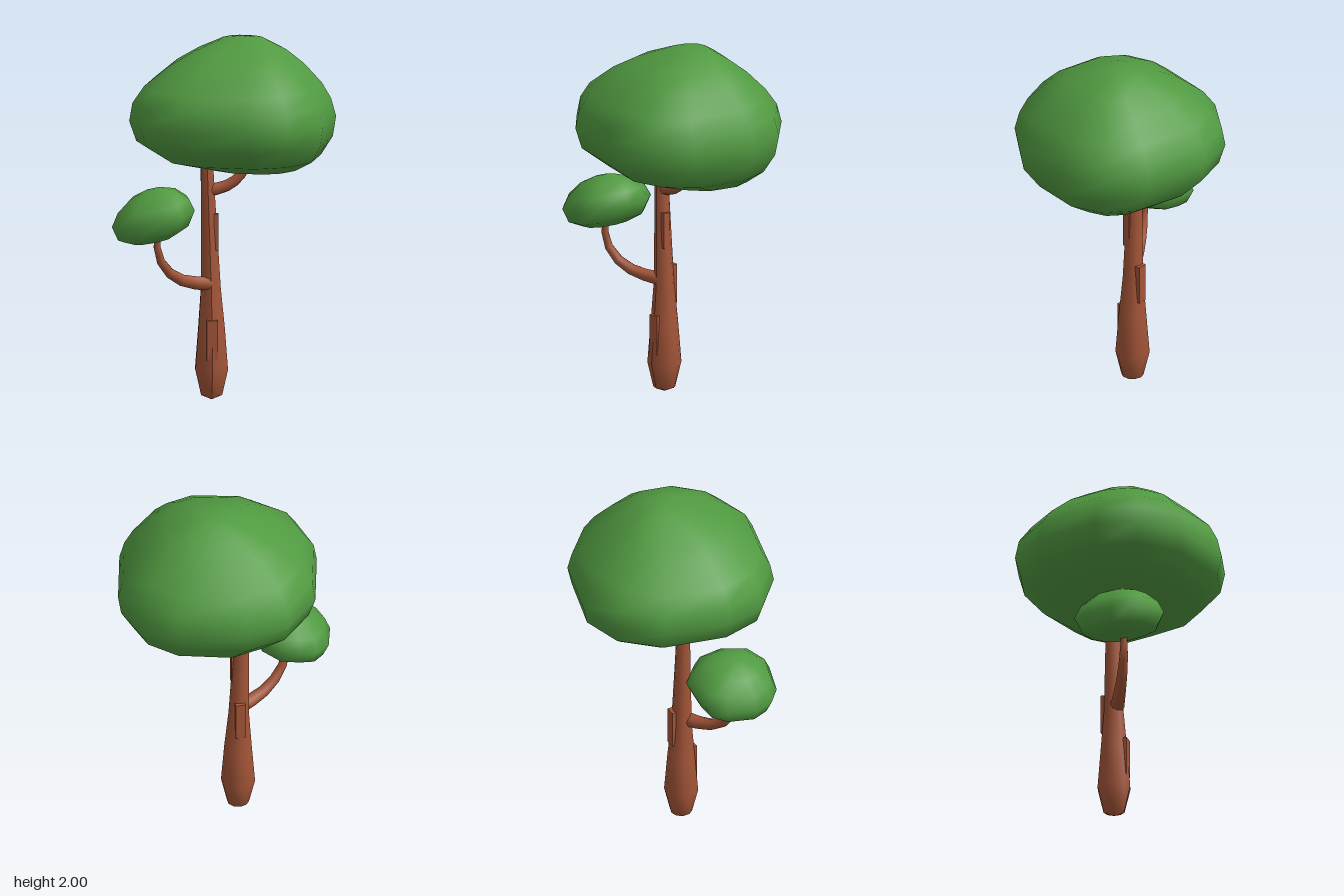
import * as THREE from 'three';
import { mergeVertices } from 'three/addons/utils/BufferGeometryUtils.js';

const leaf = new THREE.MeshStandardMaterial({ color: 0x519a41 });
leaf.name = 'leaf green';
const bark = new THREE.MeshStandardMaterial({ color: 0xa35538 });
bark.name = 'bark brown';

// Closed blob: a plan outline [x, z] stacked in rings [y, centreX, centreZ, scale], bottom to top
function blob(outline, [ox, oz], rings, slope = 0) {
  const n = outline.length, pos = [], idx = [];
  rings.forEach(([y, cx, cz, s], i) => {
    outline.forEach(([x, z], j) => {
      const px = cx + (x - ox) * s;
      pos.push(px, y + slope * (px - ox), cz + (z - oz) * s);
      if (i === rings.length - 1) return;
      const a = i * n + j, b = i * n + (j + 1) % n;
      if (i > 0) idx.push(a, a + n, b);
      if (i < rings.length - 2) idx.push(b, a + n, b + n);
      if (i === 0) idx.push(a, a + n, b + n);
    });
  });
  // the first ring is a point, so its fan needs only the one triangle per side
  const g = new THREE.BufferGeometry();
  g.setAttribute('position', new THREE.Float32BufferAttribute(pos, 3));
  g.setIndex(idx);
  const merged = mergeVertices(g, 1e-4);
  merged.computeVertexNormals();
  return merged;
}

// Tube whose radius shrinks along its path
function branch(points, r0, r1) {
  const path = new THREE.CatmullRomCurve3(points.map((p) => new THREE.Vector3(...p)));
  const n = 6, sides = 8;
  const g = new THREE.TubeGeometry(path, n, 1, sides);
  const p = g.attributes.position, v = new THREE.Vector3();
  for (let i = 0; i <= n; i++) {
    const c = path.getPointAt(i / n), r = r0 + (r1 - r0) * i / n;
    for (let j = 0; j <= sides; j++) {
      const k = i * (sides + 1) + j;
      v.fromBufferAttribute(p, k).sub(c).multiplyScalar(r).add(c);
      p.setXYZ(k, v.x, v.y, v.z);
    }
  }
  return g;
}

export function createModel() {
  const tree = new THREE.Group();
  tree.name = 'tree';
  const add = (name, geometry, material) => {
    const m = new THREE.Mesh(geometry, material);
    m.name = name;
    tree.add(m);
    return m;
  };

  // Trunk: tapered, leaning slightly to the right towards the top
  const profile = [[0, 0.003], [0.06, 0.03], [0.093, 0.17], [0.075, 0.4], [0.056, 0.62],
    [0.043, 1.02], [0.035, 1.3], [0.03, 1.38], [0, 1.38]];
  const trunk = new THREE.LatheGeometry(profile.map((p) => new THREE.Vector2(...p)), 10);
  const tp = trunk.attributes.position;
  for (let i = 0; i < tp.count; i++) {
    tp.setX(i, tp.getX(i) - 0.07 - 0.025 * Math.max(0, tp.getY(i) - 0.5) / 0.8);
  }
  trunk.computeVertexNormals();
  add('trunk', trunk, bark);

  // Raised bark pieces: [size, centre]
  [
    [[0.06, 0.22, 0.03], [-0.07, 0.34, 0.067]],
    [[0.055, 0.22, 0.03], [-0.07, 0.61, -0.054]],
    [[0.025, 0.2, 0.04], [-0.046, 0.93, 0.016]],
  ].forEach(([size, centre], i) => {
    add('barkPiece' + (i + 1), new THREE.BoxGeometry(...size), bark).position.set(...centre);
  });

  // Branches
  add('lowerBranch', branch([[-0.08, 0.645, 0.02], [-0.22, 0.67, 0.085], [-0.32, 0.74, 0.135],
    [-0.37, 0.84, 0.16], [-0.37, 0.96, 0.16]], 0.04, 0.016), bark);
  add('upperBranch', branch([[-0.09, 1.155, 0], [0, 1.175, 0], [0.06, 1.21, 0],
    [0.11, 1.27, 0], [0.14, 1.34, 0]], 0.036, 0.022), bark);

  // Large crown
  const crown = [[0, -0.57], [0.37, -0.46], [0.55, -0.28], [0.61, -0.05], [0.52, 0.31], [0.33, 0.5],
    [0.1, 0.56], [-0.28, 0.46], [-0.47, 0.28], [-0.52, 0.05], [-0.43, -0.31], [-0.24, -0.51]];
  add('crown', blob(crown, [0.045, 0], [
    [1.24, 0.2, -0.08, 0], [1.268, 0.18, -0.07, 0.42], [1.34, 0.1, -0.015, 0.76],
    [1.44, 0.055, 0, 0.95], [1.55, 0.045, 0, 1], [1.65, 0.04, 0, 0.96], [1.74, 0.045, 0.01, 0.86],
    [1.85, 0.065, 0.01, 0.65], [1.925, 0.085, 0.005, 0.45], [1.985, 0.1, -0.03, 0.21],
    [2, 0.1, -0.03, 0],
  ]), leaf);

  // Small crown on the lower branch
  const tuft = [[-0.4, -0.095], [-0.28, -0.09], [-0.18, 0.02], [-0.17, 0.17], [-0.24, 0.33],
    [-0.36, 0.385], [-0.52, 0.34], [-0.59, 0.27], [-0.62, 0.165], [-0.575, 0], [-0.5, -0.08]];
  const c = [-0.395, 0.15];
  add('smallCrown', blob(tuft, c, [
    [0.9, ...c, 0], [0.913, ...c, 0.5], [0.95, ...c, 0.85], [1.03, ...c, 1],
    [1.1, ...c, 0.86], [1.158, ...c, 0.57], [1.185, ...c, 0.25], [1.19, ...c, 0],
  ], 0.2), leaf);

  return tree;
}
